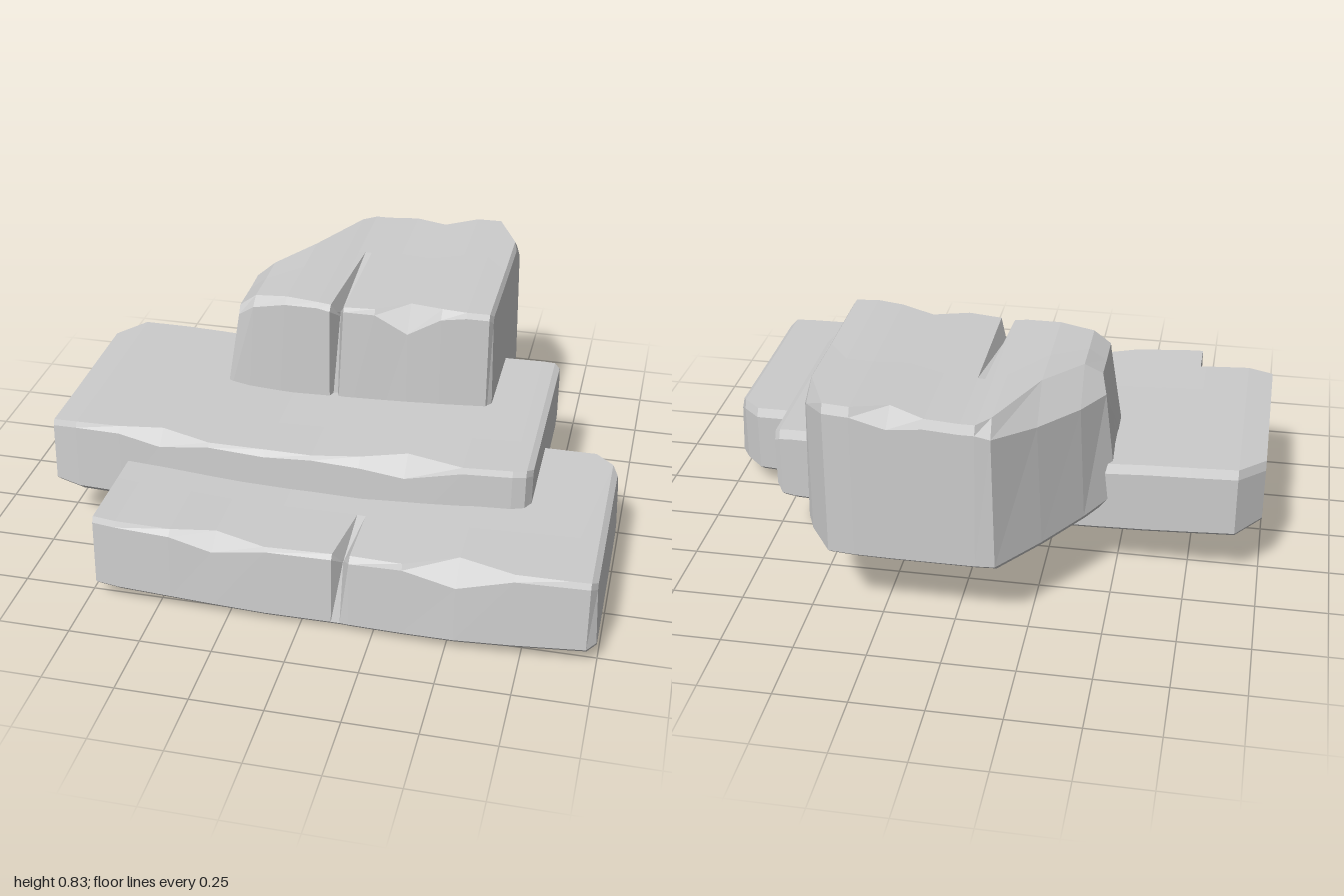
import * as THREE from 'three';

const material = new THREE.MeshStandardMaterial({ color: 0xcccccc, flatShading: true });

// One chamfered cross-section (in the y/z plane) of a stone.
// chip / bevel: drop and setback of the worn front top edge; crack: notch depth;
// lean: inward x shift of the top; inset: setback of the top back edge.
function section([x, bottom, top, back, front, chip, bevel, crack = 0, lean = 0, inset = 0.015], groove) {
  const topBack = back + inset;
  const reach = Math.max(bevel + 0.03, Math.min(groove, 0.6 * (front - topBack)));
  return [
    [x, bottom, front - 0.04],
    [x, bottom + 0.035, front],
    [x + lean, top - chip - crack * 0.3, front - 0.01 - crack],
    [x + lean, top - crack, front - bevel - crack * 0.5],
    [x + lean, top, front - reach],
    [x + lean, top + 0.005, topBack],
    [x + lean * 0.7, top - 0.02 - inset * 0.4, back],
    [x, bottom + 0.05, back],
    [x, bottom + 0.02, back + 0.04],
  ];
}

// Loft the sections along x and close both ends.
function stone(name, groove, stations) {
  const rings = stations.map((s) => section(s, groove));
  const n = rings[0].length;
  const points = rings.flat();
  const index = [];
  for (let s = 0; s < rings.length - 1; s++) {
    for (let i = 0; i < n; i++) {
      const j = (i + 1) % n;
      const a = s * n + i, b = a + n, c = (s + 1) * n + j, d = s * n + j;
      index.push(a, b, c, a, c, d);
    }
  }
  for (const s of [0, rings.length - 1]) {
    const centre = [0, 1, 2].map((k) => rings[s].reduce((sum, p) => sum + p[k], 0) / n);
    const c = points.push(centre) - 1;
    for (let i = 0; i < n; i++) {
      const a = s * n + i, b = s * n + ((i + 1) % n);
      index.push(c, ...(s === 0 ? [a, b] : [b, a]));
    }
  }
  const geometry = new THREE.BufferGeometry();
  geometry.setAttribute('position', new THREE.Float32BufferAttribute(points.flat(), 3));
  geometry.setIndex(index);
  const flat = geometry.toNonIndexed();
  flat.computeVertexNormals();
  const mesh = new THREE.Mesh(flat, material);
  mesh.name = name;
  return mesh;
}

export function createModel() {
  const group = new THREE.Group();
  group.name = 'stoneSteps';

  // station: x, bottom, top, back, front, chip, bevel, crack, lean, inset
  group.add(stone('lowerSlab', 0.27, [
    [-0.72, 0.035, 0.325, 0.04, 0.8, 0.02, 0.02],
    [-0.64, 0.028, 0.32, -0.01, 0.805, 0.02, 0.02],
    [-0.45, 0.018, 0.31, -0.01, 0.805, 0.02, 0.03],
    [-0.3, 0.01, 0.3, -0.01, 0.805, 0.05, 0.07],
    [-0.12, 0.003, 0.295, -0.01, 0.805, 0.015, 0.02],
    [0.11, 0, 0.295, -0.01, 0.8, 0.015, 0.025],
    [0.14, 0, 0.295, -0.01, 0.8, 0.03, 0.03, 0.05],
    [0.17, 0.002, 0.297, -0.01, 0.805, 0.02, 0.03],
    [0.35, 0.006, 0.307, -0.01, 0.815, 0.02, 0.02],
    [0.53, 0.014, 0.32, -0.01, 0.825, 0.07, 0.09],
    [0.72, 0.022, 0.323, -0.01, 0.82, 0.02, 0.025],
    [0.9, 0.032, 0.323, -0.01, 0.812, 0.02, 0.02],
    [0.965, 0.035, 0.322, 0.05, 0.808, 0.02, 0.02],
    [0.995, 0.045, 0.305, 0.09, 0.775, 0.02, 0.02, 0, -0.01],
  ]));

  group.add(stone('middleSlab', 0.22, [
    [-1, 0.18, 0.445, -0.29, 0.41, 0.02, 0.02],
    [-0.91, 0.165, 0.455, -0.39, 0.425, 0.02, 0.02],
    [-0.75, 0.16, 0.452, -0.395, 0.425, 0.02, 0.03],
    [-0.6, 0.153, 0.447, -0.395, 0.425, 0.05, 0.06],
    [-0.42, 0.148, 0.437, -0.395, 0.43, 0.015, 0.02],
    [-0.22, 0.145, 0.43, -0.395, 0.43, 0.02, 0.03],
    [-0.05, 0.143, 0.435, -0.395, 0.43, 0.015, 0.02],
    [0.12, 0.145, 0.445, -0.395, 0.435, 0.03, 0.04],
    [0.28, 0.148, 0.455, -0.395, 0.435, 0.06, 0.08],
    [0.48, 0.152, 0.462, -0.395, 0.435, 0.02, 0.02],
    [0.65, 0.16, 0.465, -0.395, 0.425, 0.02, 0.02],
    [0.695, 0.168, 0.463, -0.395, 0.41, 0.02, 0.02],
    [0.715, 0.2, 0.45, -0.38, 0.375, 0.02, 0.02],
  ]));

  group.add(stone('upperBoulder', 0.5, [
    [-0.495, 0.27, 0.745, -0.36, -0.03, 0.03, 0.03, 0, 0.065, 0.06],
    [-0.4, 0.245, 0.79, -0.49, -0.01, 0.03, 0.05, 0, 0.03, 0.16],
    [-0.28, 0.235, 0.805, -0.66, -0.005, 0.02, 0.04, 0, 0.03, 0.16],
    [-0.15, 0.23, 0.8, -0.83, -0.005, 0.015, 0.03, 0, 0.02, 0.06],
    [-0.085, 0.23, 0.795, -0.835, -0.005, 0.02, 0.03],
    [-0.06, 0.23, 0.795, -0.835, -0.01, 0.03, 0.03, 0.06],
    [-0.035, 0.23, 0.795, -0.835, -0.005, 0.015, 0.02],
    [0.08, 0.23, 0.803, -0.835, 0, 0.02, 0.02],
    [0.2, 0.23, 0.812, -0.835, 0.005, 0.09, 0.08, 0, 0, 0.07],
    [0.32, 0.232, 0.823, -0.835, 0.005, 0.03, 0.04],
    [0.41, 0.235, 0.826, -0.83, 0, 0.02, 0.02],
    [0.49, 0.245, 0.824, -0.72, -0.005, 0.02, 0.02, 0, 0, 0.08],
    [0.512, 0.27, 0.805, -0.68, -0.03, 0.02, 0.02, 0, -0.01, 0.08],
  ]));

  return group;
}
